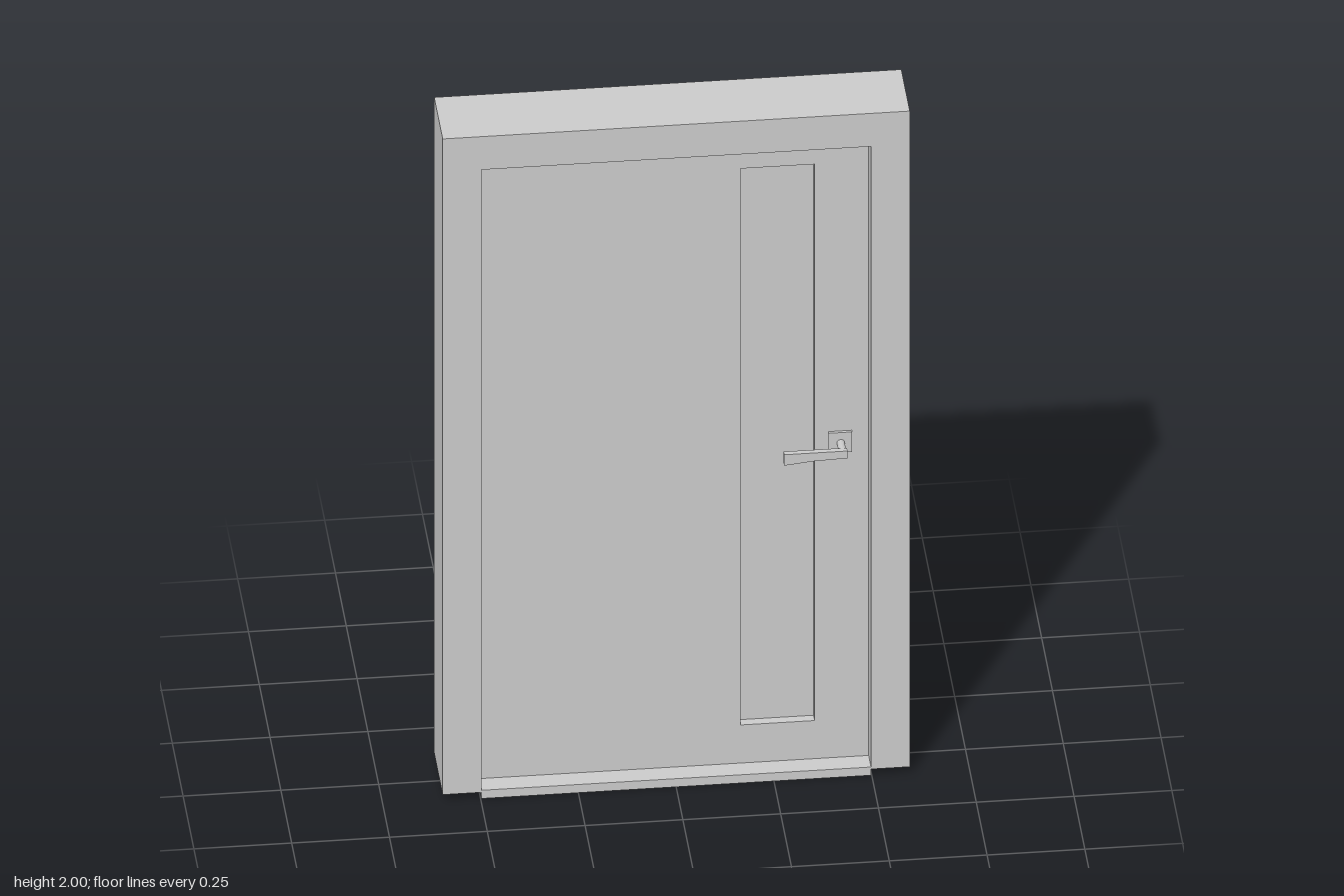
import * as THREE from 'three';

const material = new THREE.MeshStandardMaterial({ color: 0xcccccc, flatShading: true });

function addMesh(parent, name, geometry, x = 0, y = 0, z = 0) {
  const mesh = new THREE.Mesh(geometry, material);
  mesh.name = name;
  mesh.position.set(x, y, z);
  parent.add(mesh);
  return mesh;
}

// Box given by its limits on each axis
function addBox(parent, name, [x0, x1], [y0, y1], [z0, z1]) {
  return addMesh(parent, name, new THREE.BoxGeometry(x1 - x0, y1 - y0, z1 - z0),
    (x0 + x1) / 2, (y0 + y1) / 2, (z0 + z1) / 2);
}

const points = (list) => list.map(([x, y]) => new THREE.Vector2(x, y));
const rectangle = (x0, x1, y0, y1) => points([[x0, y0], [x1, y0], [x1, y1], [x0, y1]]);

// Flat outline, with optional hole, pulled out between two depths
function addPlate(parent, name, outline, z0, z1, hole) {
  const shape = new THREE.Shape(outline);
  if (hole) shape.holes.push(new THREE.Path(hole));
  const geometry = new THREE.ExtrudeGeometry(shape, { depth: z1 - z0, bevelEnabled: false });
  return addMesh(parent, name, geometry, 0, 0, z0);
}

export function createModel() {
  const model = new THREE.Group();
  model.name = 'door';

  // Frame: two jambs and a lintel in one piece, open at the floor
  const w = 0.597, open = 0.498, foot = 0.02;
  addPlate(model, 'frame', points([
    [-w, foot], [-open, foot], [-open, 1.9], [open, 1.9],
    [open, foot], [w, foot], [w, 2], [-w, 2],
  ]), -0.1, 0.097);

  // Threshold under the leaf
  addBox(model, 'threshold', [-open, open], [0, 0.025], [-0.005, 0.095]);

  // Leaf with a tall, narrow recessed panel
  const leaf = new THREE.Group();
  leaf.name = 'leaf';
  model.add(leaf);
  addPlate(leaf, 'leafFront', rectangle(-open, open, 0.025, 1.9), 0.015, 0.04,
    rectangle(0.17, 0.36, 0.14, 1.82));
  addBox(leaf, 'leafBack', [-open, open], [0.025, 1.9], [0.003, 0.015]);

  // Handle: square plate, round spindle and tapered lever
  const handle = new THREE.Group();
  handle.name = 'handle';
  model.add(handle);
  addBox(handle, 'handlePlate', [0.395, 0.455], [0.95, 1.01], [0.04, 0.048]);
  addMesh(handle, 'spindle', new THREE.CylinderGeometry(0.01, 0.01, 0.045, 16), 0.426, 0.979, 0.0695)
    .rotation.x = Math.PI / 2;
  addPlate(handle, 'lever', points([
    [0.275, 0.957], [0.35, 0.965], [0.437, 0.968], [0.437, 0.99], [0.275, 0.99],
  ]), 0.09, 0.105);

  return model;
}
